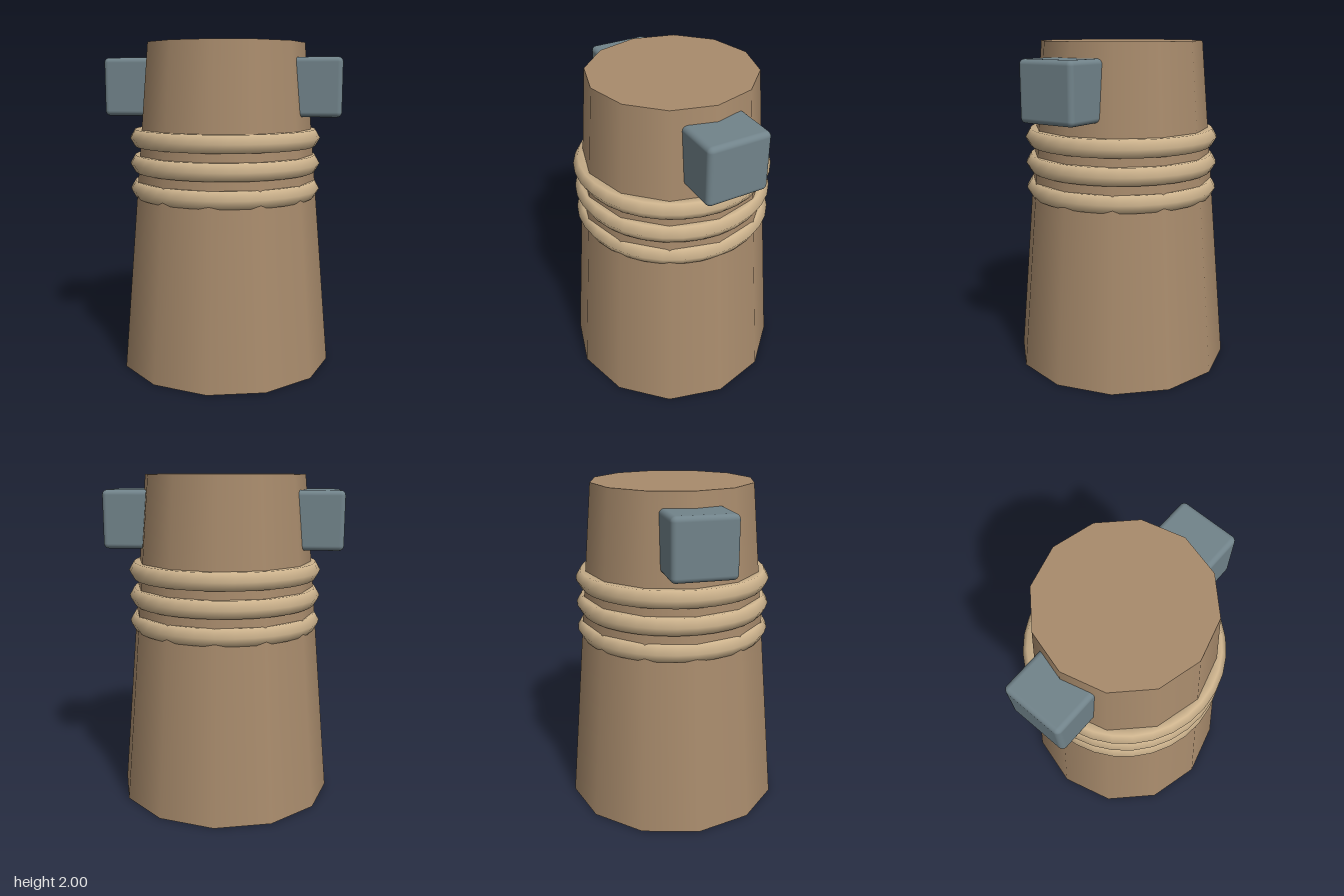
import * as THREE from 'three';
import { RoundedBoxGeometry } from 'three/addons/geometries/RoundedBoxGeometry.js';

const material = (name, color) => {
  const m = new THREE.MeshStandardMaterial({ color });
  m.name = name;
  return m;
};

export function createModel() {
  const wood = material('wood', 0xa88b6c);
  const rope = material('rope', 0xcdb38d);
  const metal = material('metal', 0x71838a);

  const group = new THREE.Group();
  group.name = 'mooringPost';

  const add = (name, geometry, mat, y) => {
    const mesh = new THREE.Mesh(geometry, mat);
    mesh.name = name;
    mesh.position.y = y;
    group.add(mesh);
  };

  // Tapered twelve-sided post
  add('post', new THREE.CylinderGeometry(0.49, 0.665, 2, 12), wood, 1);

  // Crossbar through the top, showing as a block on each side
  add('crossbar', new RoundedBoxGeometry(1.44, 0.35, 0.373, 3, 0.03), metal, 1.735);

  // Three turns of rope
  const ring = new THREE.TorusGeometry(0.532, 0.06, 6, 32).rotateX(Math.PI / 2);
  [1.113, 1.27, 1.427].forEach((y, i) => add(`ropeRing${i + 1}`, ring, rope, y));

  return group;
}
